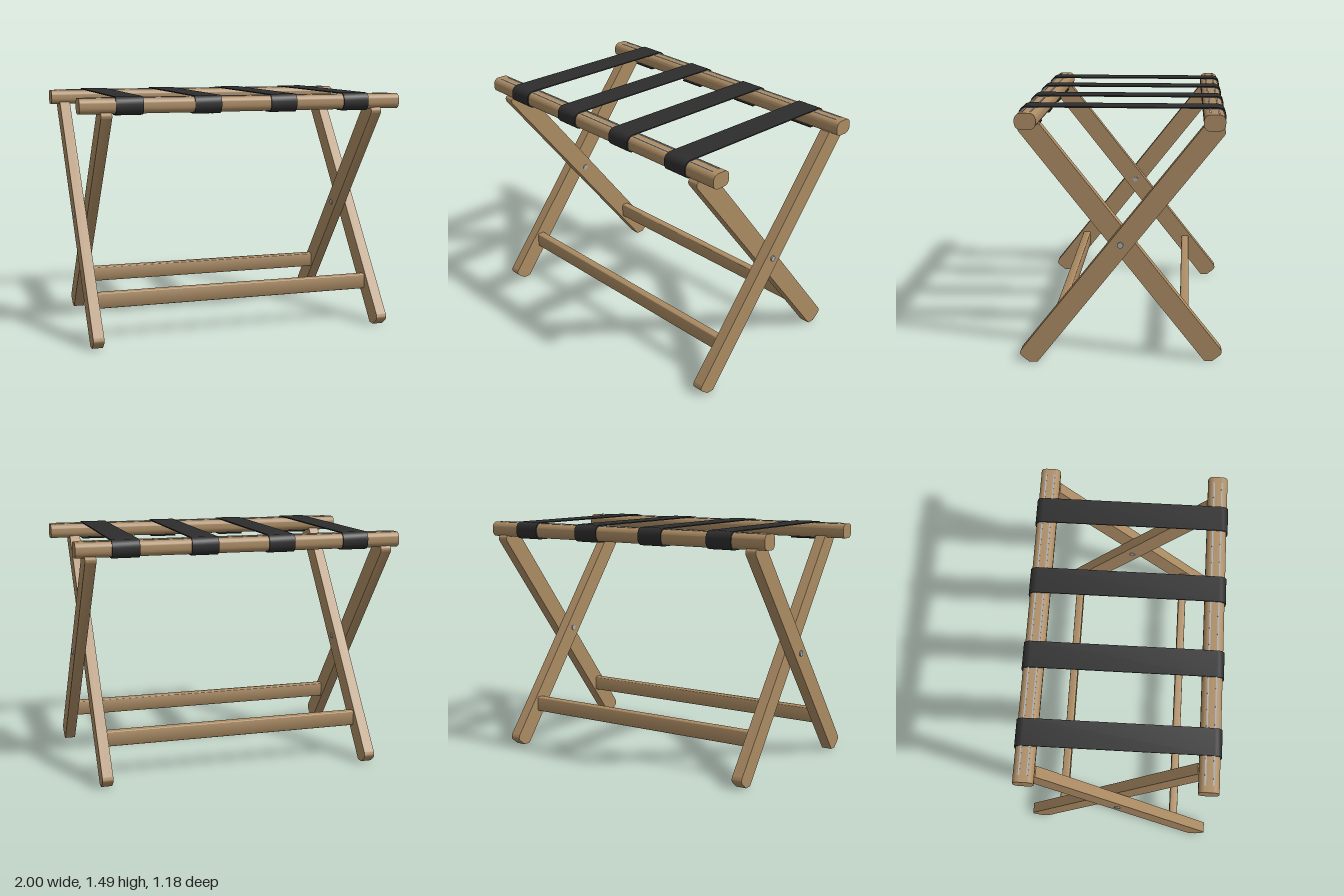
import * as THREE from 'three';
import { toCreasedNormals } from 'three/addons/utils/BufferGeometryUtils.js';

const wood = new THREE.MeshStandardMaterial({ color: 0xab8b63 });
wood.name = 'wood';
const webbing = new THREE.MeshStandardMaterial({ color: 0x2d2d2d });
webbing.name = 'black webbing';
const metal = new THREE.MeshStandardMaterial({ color: 0xa6adb5 });
metal.name = 'metal';

// Rail section, shared by the rails and the straps wrapped around them
const RAIL = { z: 0.522, y: 1.431, w: 0.12, h: 0.092, r: 0.036 };

// Extrude a (z, y) section along x, centred on x
function extrudeX(shape, length, x = 0) {
  const geo = new THREE.ExtrudeGeometry(shape, { depth: length, bevelEnabled: false, curveSegments: 6 });
  geo.translate(0, 0, -length / 2).rotateY(-Math.PI / 2).translate(x, 0, 0);
  return toCreasedNormals(geo, 0.6);
}

function roundedRect(z, y, w, h, r) {
  const s = new THREE.Shape();
  const a = w / 2 - r, b = h / 2 - r, q = Math.PI / 2;
  s.absarc(z + a, y + b, r, 0, q);
  s.absarc(z - a, y + b, r, q, 2 * q);
  s.absarc(z - a, y - b, r, 2 * q, 3 * q);
  s.absarc(z + a, y - b, r, 3 * q, 4 * q);
  s.closePath();
  return s;
}

// Slanted leg with a flat foot on side s and its top on the other side
function legShape(s) {
  const p = new THREE.Shape();
  p.moveTo(s * 0.488, 0);
  p.lineTo(s * 0.535, 0);
  p.lineTo(s * 0.578, 0.034);
  p.quadraticCurveTo(s * 0.6, 0.052, s * 0.58, 0.078);
  p.lineTo(-s * 0.46, 1.399);
  p.lineTo(-s * 0.562, 1.399);
  p.lineTo(-s * 0.58, 1.385);
  p.quadraticCurveTo(-s * 0.588, 1.375, -s * 0.58, 1.357);
  p.closePath();
  return p;
}

// Line running under one rail, around it, across and around the other, at offset d
function strapLine(d) {
  const { z, y, w, h, r } = RAIL;
  const half = [[z - 0.045, y - h / 2 - d]];
  for (const [cy, start] of [[y - h / 2 + r, -90], [y + h / 2 - r, 0]]) {
    for (let i = 0; i <= 6; i++) {
      const t = THREE.MathUtils.degToRad(start + i * 15);
      half.push([z + w / 2 - r + (r + d) * Math.cos(t), cy + (r + d) * Math.sin(t)]);
    }
  }
  const other = half.map(([a, b]) => [-a, b]).reverse();
  return [...half, ...other].map(([a, b]) => new THREE.Vector2(a, b));
}

export function createModel() {
  const model = new THREE.Group();
  model.name = 'luggageRack';
  const add = (name, geo, mat) => {
    const mesh = new THREE.Mesh(geo, mat);
    mesh.name = name;
    model.add(mesh);
    return mesh;
  };

  // Crossed frames: s = 1 is the outer one with front feet, s = -1 the inner one
  for (const s of [1, -1]) {
    const legX = s > 0 ? 0.914 : 0.845;
    for (const side of [1, -1]) {
      add(s > 0 ? 'outerLeg' : 'innerLeg', extrudeX(legShape(s), 0.066, side * legX), wood);
    }
    const bar = roundedRect(s * 0.367, 0.248, 0.052, 0.096, 0.01);
    add('stretcher', extrudeX(bar, 2 * legX - 0.064), wood);

    // Top rail with two thin inlaid lines
    add('topRail', extrudeX(roundedRect(s * RAIL.z, RAIL.y, RAIL.w, RAIL.h, RAIL.r), 2), wood);
    for (const z of [0.498, 0.546]) {
      const line = add('railInlay', new THREE.BoxGeometry(1.92, 0.004, 0.009), metal);
      line.position.set(0, RAIL.y + RAIL.h / 2, s * z);
    }
  }

  // Pivot bolts
  for (const side of [1, -1]) {
    const bolt = add('pivotBolt', new THREE.CylinderGeometry(0.018, 0.018, 0.148, 8).rotateZ(Math.PI / 2), metal);
    bolt.position.set(side * 0.881, 0.718, 0);
  }

  // Webbing straps, fixed by two screws under each rail
  const section = new THREE.Shape([...strapLine(0.008), ...strapLine(0.001).reverse()]);
  for (const x of [-0.708, -0.237, 0.237, 0.708]) {
    add('strap', extrudeX(section, 0.163, x), webbing);
    for (const s of [1, -1]) {
      for (const dx of [-0.045, 0.045]) {
        const screw = add('strapScrew', new THREE.CylinderGeometry(0.009, 0.009, 0.006, 8), metal);
        screw.position.set(x + dx, RAIL.y - RAIL.h / 2 - 0.008, s * 0.505);
      }
    }
  }
  return model;
}
